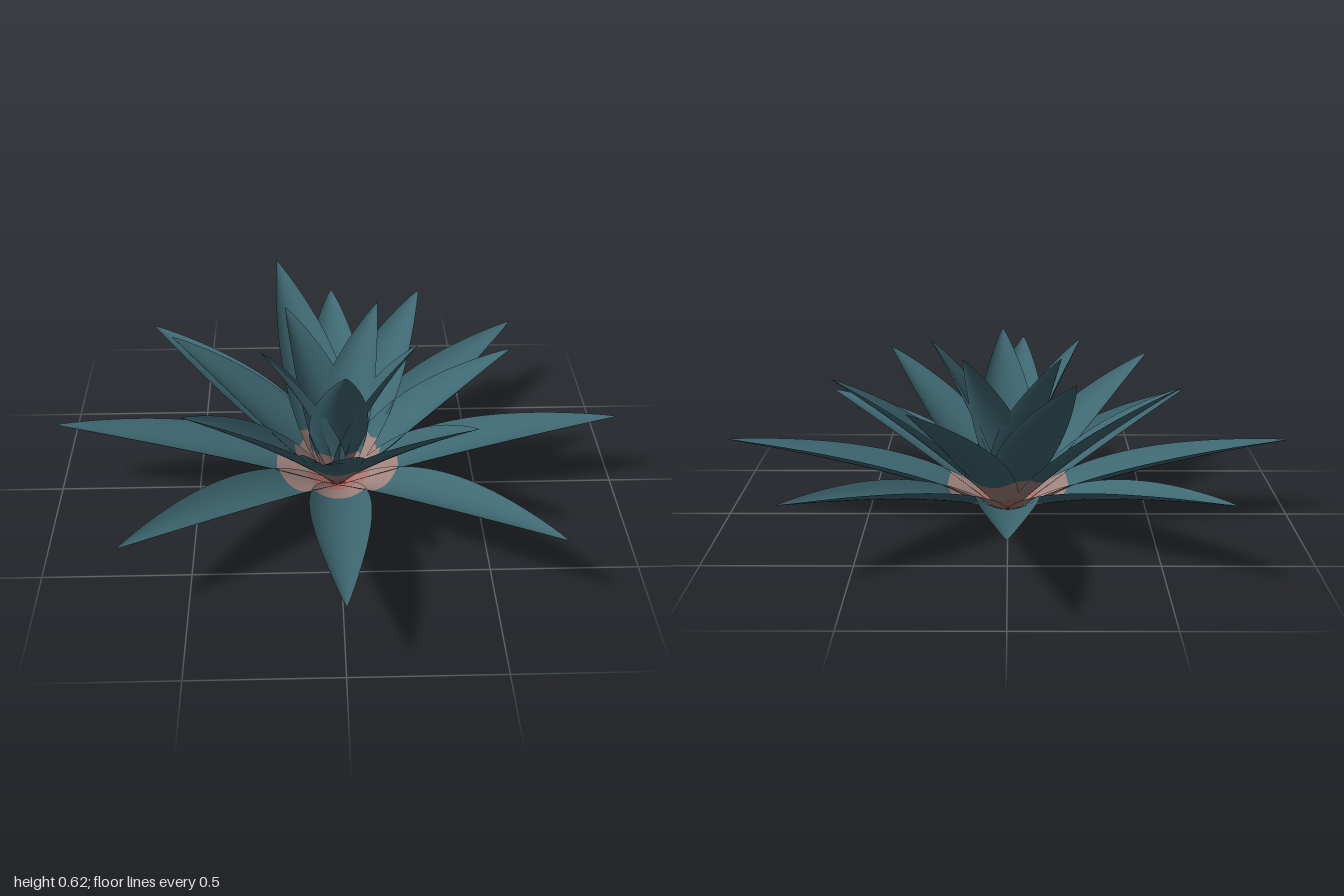
import * as THREE from 'three';

const material = (name, color) => {
  const m = new THREE.MeshStandardMaterial({ color, side: THREE.DoubleSide });
  m.name = name;
  return m;
};

const ROWS = 26, COLS = 10, CUP = 0.78;
// First row of each colour band, from the base outwards: red, rose, pink, teal
const BANDS = [0, 2, 4, 8, ROWS];

// Cupped, pointed leaf growing along +x: an arc cross-section swept along a bending midrib
function leafGeometry({ bend, tip, width, pink }) {
  const rib = new THREE.QuadraticBezierCurve(
    new THREE.Vector2(0, 0), new THREE.Vector2(...bend), new THREE.Vector2(...tip));
  const tealRow = BANDS[3];
  const positions = [], indices = [];
  for (let i = 0; i <= ROWS; i++) {
    // Rows line up with the colour borders
    const u = i <= tealRow ? pink * i / tealRow
      : pink + (1 - pink) * (i - tealRow) / (ROWS - tealRow);
    const p = rib.getPointAt(u), d = rib.getTangentAt(u);
    const w = width * Math.pow(Math.max(0, Math.sin(Math.PI * Math.pow(u, 0.74))), 0.88);
    for (let j = 0; j <= COLS; j++) {
      const a = (j / COLS * 2 - 1) * CUP;
      const side = w * Math.sin(a) / Math.sin(CUP);
      const lift = w * (1 - Math.cos(a)) / Math.sin(CUP);
      positions.push(p.x - d.y * lift, p.y + d.x * lift, side);
    }
  }
  for (let i = 0; i < ROWS; i++) {
    for (let j = 0; j < COLS; j++) {
      const a = i * (COLS + 1) + j, b = a + COLS + 1;
      indices.push(a, a + 1, b, a + 1, b + 1, b);
    }
  }
  const geometry = new THREE.BufferGeometry();
  geometry.setAttribute('position', new THREE.Float32BufferAttribute(positions, 3));
  geometry.setIndex(indices);
  geometry.computeVertexNormals();
  const perRow = COLS * 6;
  for (let k = 0; k < BANDS.length - 1; k++) {
    geometry.addGroup(BANDS[k] * perRow, (BANDS[k + 1] - BANDS[k]) * perRow, k);
  }
  return geometry;
}

export function createModel() {
  const model = new THREE.Group();
  model.name = 'rosettePlant';
  const colours = [
    material('baseRed', 0xb5625a),
    material('rose', 0xa8736c),
    material('blushPink', 0x9f827e),
    material('leafTeal', 0x3f6872),
  ];

  const outer = leafGeometry({ bend: [0.3, 0.17], tip: [1, 0.28], width: 0.105, pink: 0.23 });
  const middle = leafGeometry({ bend: [0.27, 0.28], tip: [0.617, 0.52], width: 0.112, pink: 0.25 });
  const tall = leafGeometry({ bend: [0.27, 0.33], tip: [0.617, 0.625], width: 0.112, pink: 0.25 });
  const inner = leafGeometry({ bend: [0.06, 0.3], tip: [0.28, 0.625], width: 0.105, pink: 0.23 });

  // Angles turn from +x towards +z
  const ring = (name, count, start, pick) => {
    const group = new THREE.Group();
    group.name = name;
    for (let i = 0; i < count; i++) {
      const leaf = new THREE.Mesh(pick(i), colours);
      leaf.name = name + 'Leaf' + (i + 1);
      leaf.rotation.y = -THREE.MathUtils.degToRad(start + i * 360 / count);
      group.add(leaf);
    }
    model.add(group);
  };

  ring('outerRing', 8, 0, () => outer);
  // One leaf of the middle ring stands taller than the rest
  ring('middleRing', 7, -7.3, i => (i === 5 ? tall : middle));
  ring('innerRing', 5, 14, () => inner);
  return model;
}
